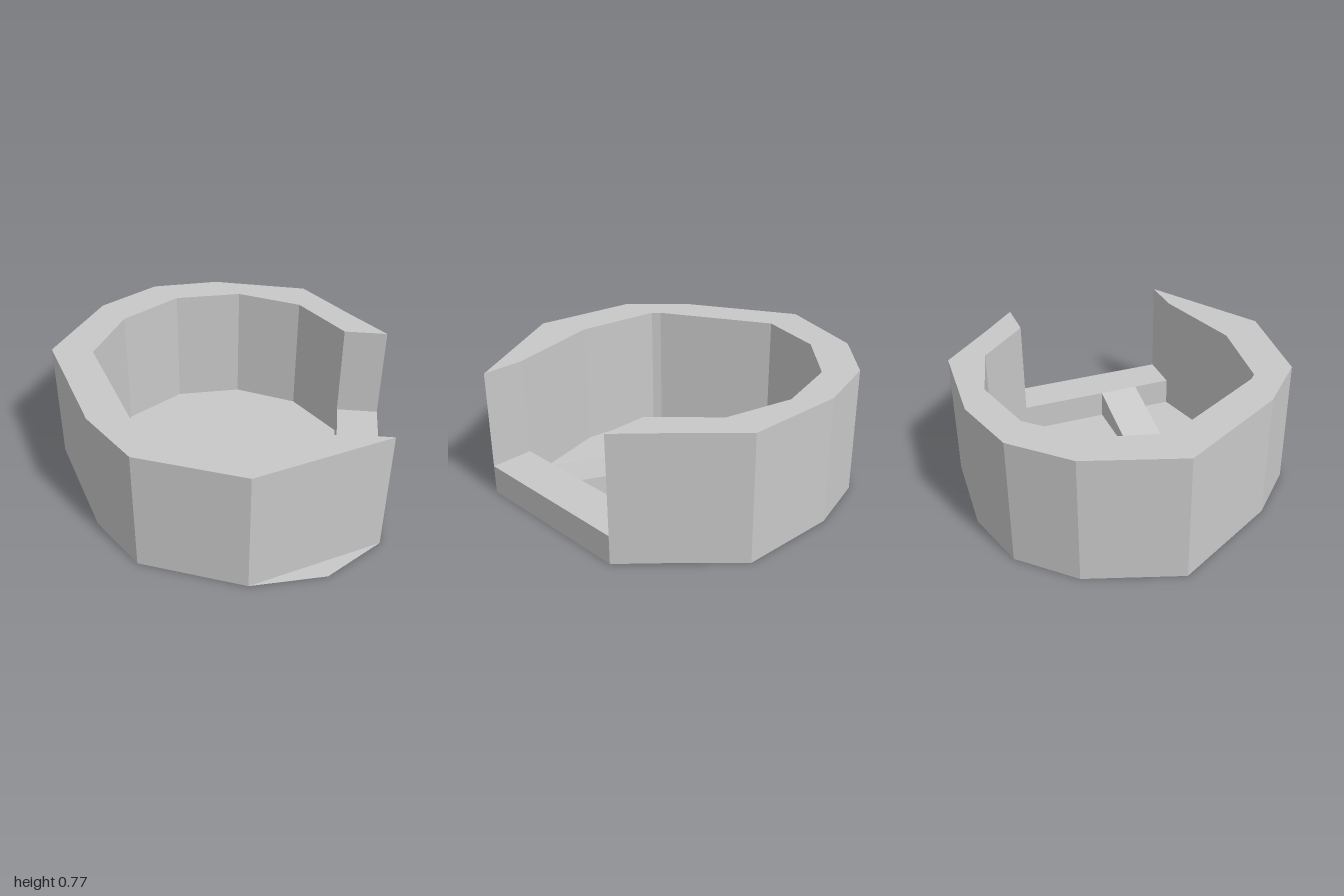
import * as THREE from 'three';

const HEIGHT = 0.77;
const STEP = 0.175;

// Shape from ground-plan [x, z] points
const plan = (points) => new THREE.Shape(points.map(([x, z]) => new THREE.Vector2(x, -z)));

// Raise a ground plan to a given height
function raise(points, height) {
  const geometry = new THREE.ExtrudeGeometry(plan(points), { depth: height, bevelEnabled: false });
  return geometry.rotateX(-Math.PI / 2);
}

export function createModel() {
  const group = new THREE.Group();
  const stone = new THREE.MeshStandardMaterial({ color: 0xc8c8c8, side: THREE.DoubleSide });
  stone.name = 'grey stone';

  const add = (name, geometry) => {
    const mesh = new THREE.Mesh(geometry, stone);
    mesh.name = name;
    group.add(mesh);
    return mesh;
  };

  // Outer outline, from the front gatepost round to the back gatepost
  const outer = [
    [1, 0.58], [0.28, 0.99], [-0.35, 0.89], [-0.64, 0.6], [-1, -0.05], [-0.81, -0.6],
    [-0.52, -0.89], [-0.12, -1], [0.47, -0.97], [0.77, -0.67], [1, -0.45],
  ];
  // Inner outline, running back the other way
  const inner = [
    [0.74, -0.45], [0.45, -0.75], [0.05, -0.85], [-0.35, -0.75], [-0.64, -0.45],
    [-0.75, -0.05], [-0.39, 0.6], [-0.35, 0.64], [0.16, 0.72], [0.74, 0.58],
  ];

  // Open ring wall
  add('wall', raise([...outer, ...inner], HEIGHT));

  // Thin floor sheet, with one extra corner outside the front wall
  const floor = new THREE.ShapeGeometry(plan([[0.71, 0.87], ...outer.slice(1), outer[0]]));
  add('floor', floor.rotateX(-Math.PI / 2));

  // Raised sill across the opening
  add('threshold', raise([[0.74, -0.45], [0.74, 0.58], [1, 0.58], [1, -0.45]], STEP));

  // Ramp from the sill down to the floor
  const wedge = new THREE.Shape([
    new THREE.Vector2(0.09, 0), new THREE.Vector2(0.74, 0), new THREE.Vector2(0.74, STEP),
  ]);
  const ramp = new THREE.ExtrudeGeometry(wedge, { depth: 0.25, bevelEnabled: false });
  add('ramp', ramp.translate(0, 0, 0.09));

  return group;
}
